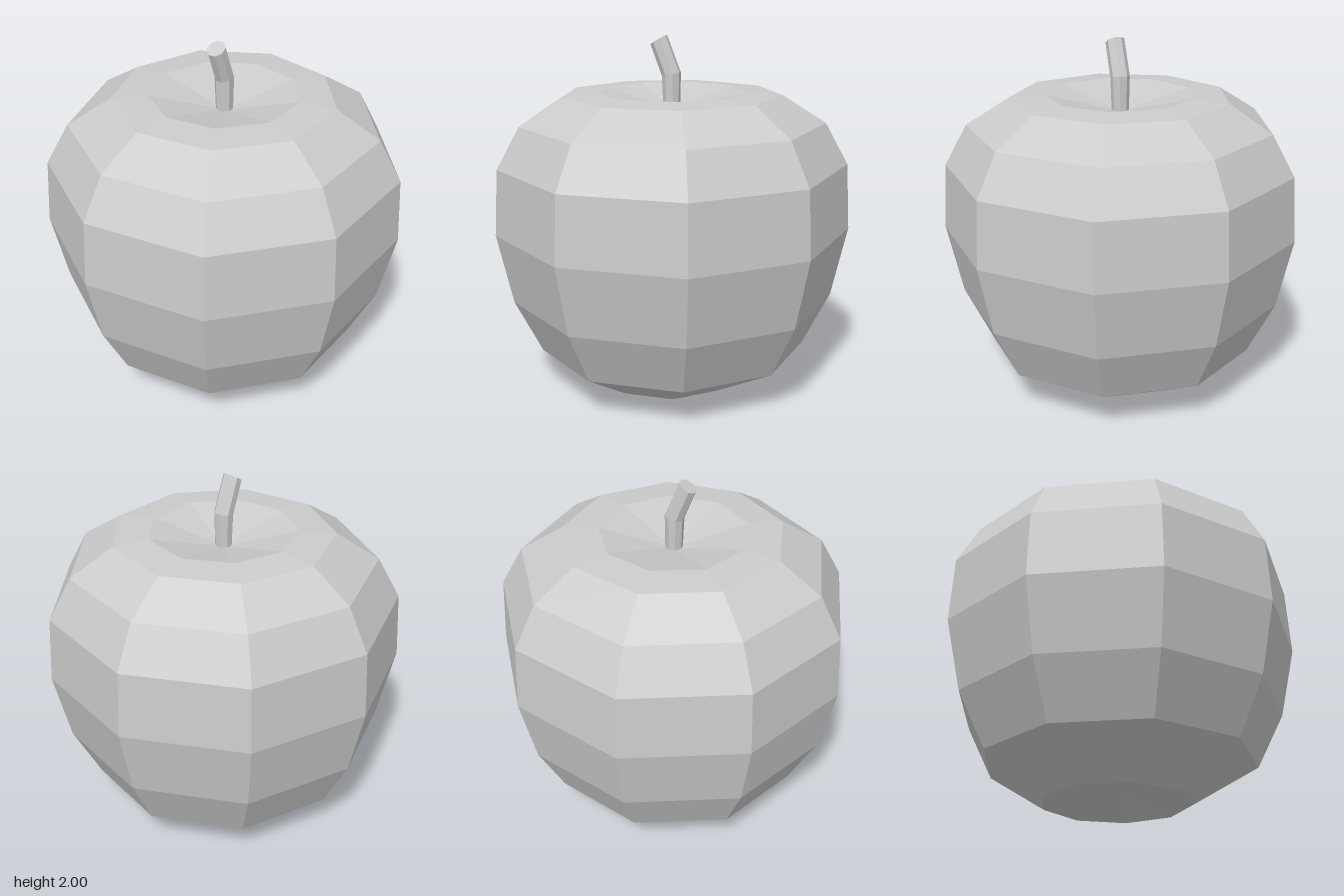
import * as THREE from 'three';

const material = new THREE.MeshStandardMaterial({ color: 0xcccccc, flatShading: true });

// Skin a list of rings from bottom to top. Each ring: r, y, optional x/z centre
// and tilt (radians about z). A ring with r = 0 closes the surface to a point.
function loft(name, rings, sides, startAngle) {
  const point = ({ r, y, x = 0, z = 0, tilt = 0 }, i) => {
    const a = startAngle + (i / sides) * Math.PI * 2;
    const px = r * Math.sin(a);
    return [x + px * Math.cos(tilt), y + px * Math.sin(tilt), z + r * Math.cos(a)];
  };
  const positions = [];
  for (let j = 0; j < rings.length - 1; j++) {
    const low = rings[j], high = rings[j + 1];
    for (let i = 0; i < sides; i++) {
      const a = point(low, i), b = point(low, i + 1);
      const c = point(high, i + 1), d = point(high, i);
      if (low.r > 0) positions.push(...a, ...b, ...c);
      if (high.r > 0) positions.push(...a, ...c, ...d);
    }
  }
  const geometry = new THREE.BufferGeometry();
  geometry.setAttribute('position', new THREE.Float32BufferAttribute(positions, 3));
  geometry.computeVertexNormals();
  const mesh = new THREE.Mesh(geometry, material);
  mesh.name = name;
  return mesh;
}

export function createModel() {
  const model = new THREE.Group();
  model.name = 'apple';
  const z = 0.028;

  // Nine-sided fruit, one corner pointing to the back, dimpled at both ends
  model.add(loft('fruit', [
    { r: 0, y: 0.1, z },
    { r: 0.41, y: 0, x: -0.036, z: -0.005 },
    { r: 0.763, y: 0.225, z },
    { r: 0.916, y: 0.53, z },
    { r: 1.003, y: 0.925, z },
    { r: 0.982, y: 1.295, z },
    { r: 0.855, y: 1.525, z },
    { r: 0.616, y: 1.675, z },
    { r: 0.416, y: 1.69, z },
    { r: 0, y: 1.59, z },
  ], 9, Math.PI));

  // Bent stem with a slanted tip
  model.add(loft('stem', [
    { r: 0, y: 1.57, z },
    { r: 0.047, y: 1.57, z },
    { r: 0.054, y: 1.785, x: -0.003, z, tilt: 0.2 },
    { r: 0.053, y: 1.972, x: -0.075, z, tilt: 0.54 },
    { r: 0, y: 1.972, x: -0.075, z },
  ], 8, Math.PI / 8));

  return model;
}
